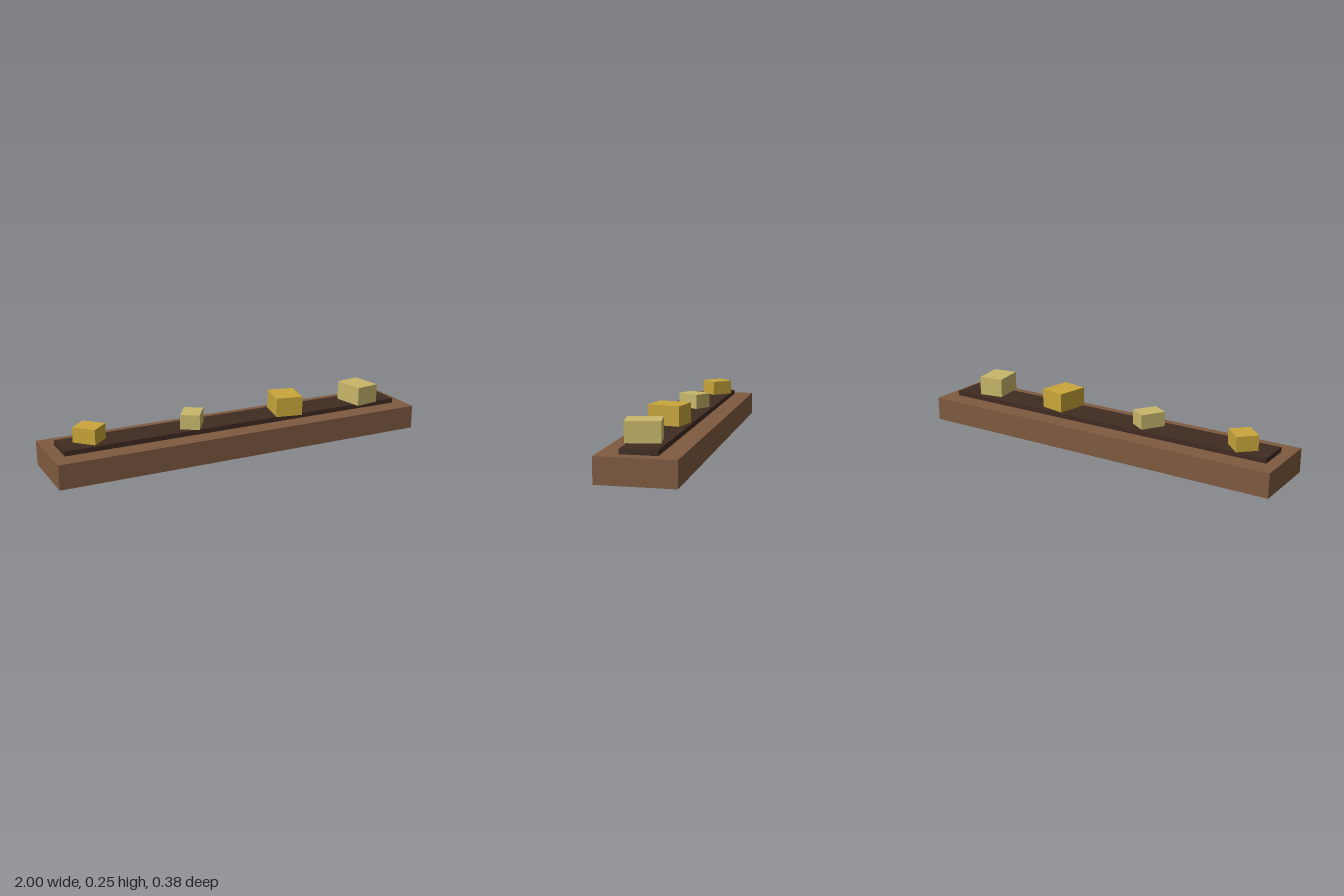
import * as THREE from 'three';

const material = (name, color) => {
  const m = new THREE.MeshStandardMaterial({ color });
  m.name = name;
  return m;
};

export function createModel() {
  const wood = material('brown wood', 0x7f5b40);
  const dark = material('dark brown', 0x402b22);
  const gold = material('gold', 0xc9a63a);
  const straw = material('pale straw', 0xc8b76b);

  const group = new THREE.Group();
  group.name = 'boardWithBlocks';

  // Adds a box whose underside rests at height y
  const addBox = (name, mat, [w, h, d], [x, y, z], turn = 0) => {
    const mesh = new THREE.Mesh(new THREE.BoxGeometry(w, h, d), mat);
    mesh.name = name;
    mesh.position.set(x, y + h / 2, z);
    mesh.rotation.y = turn;
    group.add(mesh);
  };

  // Wooden base and raised inlay
  addBox('base', wood, [2, 0.125, 0.375], [0, 0, 0]);
  addBox('inlay', dark, [1.875, 0.025, 0.175], [0, 0.125, 0]);

  // Turned blocks lying along the inlay: material, size, x, z, turn
  const blocks = [
    [gold, [0.112, 0.077, 0.122], -0.782, -0.01, 0.77],
    [straw, [0.1, 0.076, 0.131], -0.246, 0.013, -0.57],
    [gold, [0.14, 0.1, 0.167], 0.289, 0.021, -0.2],
    [straw, [0.133, 0.1, 0.166], 0.741, 0.028, 0.162],
  ];
  blocks.forEach(([mat, size, x, z, turn], i) =>
    addBox(`block${i + 1}`, mat, size, [x, 0.15, z], turn));

  return group;
}
